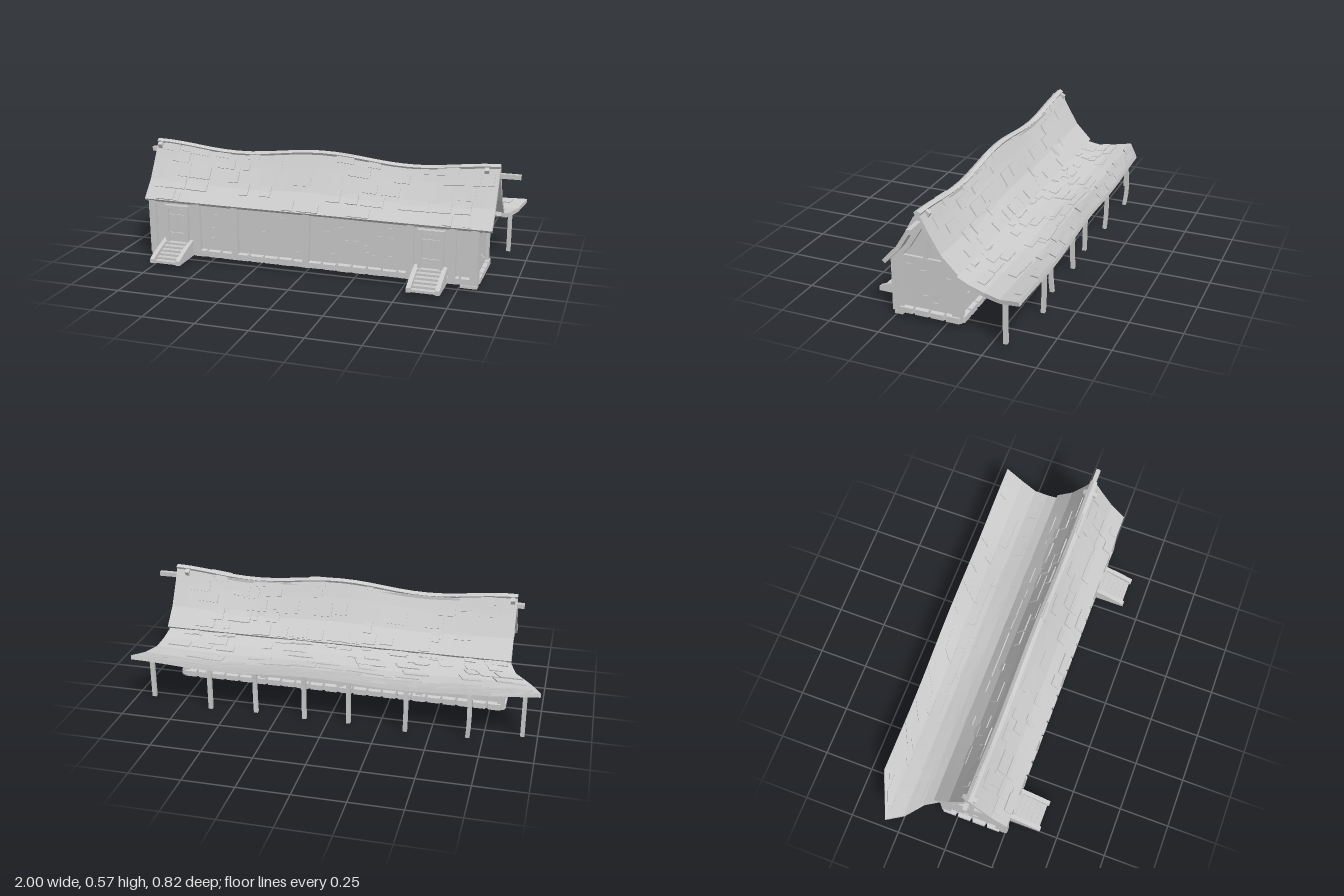
import * as THREE from 'three';
import { mergeGeometries } from 'three/addons/utils/BufferGeometryUtils.js';

const mat = new THREE.MeshStandardMaterial({ color: 0xcccccc, flatShading: true });
let seed = 7;
const rnd = (a = 0, b = 1) => {
  seed = (seed * 16807) % 2147483647;
  return a + (b - a) * (seed / 2147483647);
};
const lerp = THREE.MathUtils.lerp;

// Piecewise linear lookup in a list of evenly spaced values
const along = (list, t) => {
  const s = t * (list.length - 1);
  const i = Math.max(0, Math.min(list.length - 2, Math.floor(s)));
  return lerp(list[i], list[i + 1], s - i);
};

// Closed plate that follows the surface f(u, v); u runs to +x, v runs to -z
function plate(f, u0, u1, v0, v1, nu, nv, lift, thick) {
  const pos = [], idx = [], e = 0.004, row = nv + 1, n = (nu + 1) * row;
  for (const off of [lift, lift - thick])
    for (let i = 0; i <= nu; i++)
      for (let j = 0; j <= nv; j++) {
        const u = lerp(u0, u1, i / nu), v = lerp(v0, v1, j / nv);
        const du = f(u + e, v).sub(f(u - e, v)), dv = f(u, v + e).sub(f(u, v - e));
        pos.push(...f(u, v).addScaledVector(du.cross(dv).normalize(), off).toArray());
      }
  const quad = (a, b, c, d) => idx.push(a, b, c, a, c, d);
  for (let i = 0; i < nu; i++)
    for (let j = 0; j < nv; j++) {
      const a = i * row + j, b = a + row;
      quad(a, b, b + 1, a + 1);
      quad(n + a, n + a + 1, n + b + 1, n + b);
    }
  for (let i = 0; i < nu; i++) {
    const a = i * row, b = a + row;
    quad(a, n + a, n + b, b);
    quad(a + nv, b + nv, n + b + nv, n + a + nv);
  }
  for (let j = 0; j < nv; j++) {
    const a = j, b = nu * row + j;
    quad(a, a + 1, n + a + 1, n + a);
    quad(b, n + b, n + b + 1, b + 1);
  }
  const g = new THREE.BufferGeometry();
  g.setAttribute('position', new THREE.Float32BufferAttribute(pos, 3));
  g.setIndex(idx);
  g.computeVertexNormals();
  return g;
}

// Main roof slopes: wavy ridge, straight eaves, sagging profile
const slope = (zs, ys) => (u, v) => {
  const x = lerp(-0.84, 0.9, u), y = along(ys, v);
  const wave = 0.017 * (Math.cos((x - 0.04) * 7.14) - 1);
  return new THREE.Vector3(x, y + wave * Math.max(0, (y - 0.3) / 0.275), along(zs, v));
};
const frontSlope = slope([0.27, 0.195, 0.13, 0.086], [0.305, 0.388, 0.495, 0.575]);
const backSlope = slope([0.086, 0.042, -0.02, -0.1], [0.575, 0.49, 0.385, 0.303]);

// Rear canopy: sagging sheet with ragged ends
const canopySurface = (u, v) => {
  const x = lerp(along([-0.83, -0.87, -0.95, -1.0, -0.78], v), along([0.89, 0.9, 0.91, 0.94, 0.97], v), u);
  const y = along([0.298, 0.265, 0.247, 0.246, 0.268], v) + 0.009 * v * Math.sin(x * 7 + 1);
  return new THREE.Vector3(x, y, along([-0.07, -0.15, -0.22, -0.3, -0.395], v) - 0.012 * v * Math.sin(x * 1.6));
};

export function createModel() {
  const model = new THREE.Group();
  const add = (name, geo, parent = model) => {
    const m = new THREE.Mesh(geo, mat);
    m.name = name;
    parent.add(m);
    return m;
  };
  const box = (name, w, h, d, x, y, z, parent) => {
    const m = add(name, new THREE.BoxGeometry(w, h, d), parent);
    m.position.set(x, y, z);
    return m;
  };
  const group = (name) => {
    const g = new THREE.Group();
    g.name = name;
    model.add(g);
    return g;
  };
  // Side outline of [z, y] points, extruded from x0 to x1
  const sideShape = (pts, x0, x1) =>
    new THREE.ExtrudeGeometry(new THREE.Shape(pts.map(([z, y]) => new THREE.Vector2(-z, y))),
      { depth: x1 - x0, bevelEnabled: false }).rotateY(Math.PI / 2).translate(x0, 0, 0);

  // Hall body with gables
  add('hallBody', sideShape([[0.24, 0.022], [0.24, 0.315], [0.18, 0.375], [0.12, 0.465], [0.086, 0.525],
    [0.052, 0.465], [-0.01, 0.37], [-0.072, 0.305], [-0.072, 0.022]], -0.81, 0.83));

  // Roofs, each with scattered raised shingles
  const roofs = [['frontRoof', frontSlope, 24, 3, 50, 5], ['backRoof', backSlope, 24, 3, 50, 5],
    ['rearCanopy', canopySurface, 26, 4, 95, 7]];
  for (const [name, f, nu, nv, count, rows] of roofs) {
    add(name, plate(f, 0, 1, 0, 1, nu, nv, 0, 0.02));
    const shingles = [];
    for (let i = 0; i < count; i++) {
      const w = rnd(0.02, 0.065), h = rnd(0.6, 1) / rows;
      const u = rnd(0.005, 0.995 - w), v = Math.min(0.985 - h, Math.floor(rnd(0, rows)) / rows + 0.015);
      shingles.push(plate(f, u, u + w, v, v + h, 2, 2, rnd(0.003, 0.007), 0.009));
    }
    add(name + 'Shingles', mergeGeometries(shingles));
  }

  // Rake boards under the roof at both gables
  for (const f of [frontSlope, backSlope])
    for (const [a, b] of [[0.006, 0.018], [0.959, 0.971]])
      add('rakeBoard', plate(f, a, b, 0.02, 0.98, 1, 6, -0.018, 0.026));

  // Ridge beam poking out of both gables
  box('ridgeBeam', 1.87, 0.022, 0.022, 0.06, 0.518, 0.08);

  // Timbers on the gables
  const gables = group('gableTimbers');
  for (const x of [-0.812, 0.832]) {
    box('gableCornerPost', 0.02, 0.29, 0.04, x, 0.165, 0.225, gables).rotation.x = 0.02;
    box('gableCornerPost', 0.02, 0.28, 0.035, x, 0.165, -0.056, gables).rotation.x = -0.03;
    box('tieBeam', 0.022, 0.016, 0.31, x, 0.312, 0.085, gables);
    box('kingPost', 0.02, 0.11, 0.02, x, 0.37, 0.083, gables).rotation.x = -0.07;
    box('kingPost', 0.02, 0.09, 0.02, x, 0.455, 0.087, gables).rotation.x = 0.05;
  }

  // Timbers along the long walls
  const timbers = group('wallTimbers');
  for (const x of [-0.805, -0.565, -0.365, 0.005, 0.52, 0.72, 0.822])
    box('frontPost', 0.034, 0.275, 0.03, x, 0.165, 0.246, timbers).rotation.z = rnd(-0.02, 0.02);
  for (const x of [-0.805, -0.4, 0.005, 0.41, 0.822])
    box('backPost', 0.034, 0.265, 0.02, x, 0.16, -0.073, timbers).rotation.z = rnd(-0.02, 0.02);
  box('frontWallPlate', 1.64, 0.02, 0.02, 0.01, 0.295, 0.245, timbers);
  box('backWallPlate', 1.64, 0.02, 0.02, 0.01, 0.285, -0.073, timbers);

  // Foundation stones with a tapered outer face
  const stones = group('foundationStones');
  const stone = (w, x, z, turn) => {
    const g = new THREE.BoxGeometry(w * 0.97, rnd(0.04, 0.047), 0.034), p = g.attributes.position;
    for (let i = 0; i < p.count; i++)
      if (p.getZ(i) > 0) p.setXY(i, p.getX(i) * 0.82, p.getY(i) * 0.65);
    const m = add('foundationStone', g, stones);
    m.position.set(x, 0.042, z);
    m.rotation.y = turn;
  };
  for (let i = 0; i < 22; i++) {
    const x = -0.775 + i * 0.0748;
    if (Math.abs(x + 0.68) > 0.1 && Math.abs(x - 0.62) > 0.09) stone(0.0748, x, 0.243, 0);
    stone(0.0748, x, -0.075, Math.PI);
  }
  for (let i = 0; i < 4; i++) {
    stone(0.078, 0.832, 0.19 - i * 0.077, Math.PI / 2);
    stone(0.078, -0.812, 0.19 - i * 0.077, -Math.PI / 2);
  }
  box('cornerFooting', 0.08, 0.012, 0.04, 0.8, 0.016, 0.232, stones);
  box('cornerFooting', 0.08, 0.012, 0.04, -0.78, 0.016, 0.232, stones);

  // Small bricks showing through the walls
  const bricks = group('exposedBricks');
  for (const x of [-0.81, 0.83])
    for (const [z, y] of [[0.175, 0.27], [0.105, 0.247], [-0.02, 0.23], [0.095, 0.123], [0.045, 0.095]])
      box('brick', 0.01, 0.013, 0.024, x, y, z, bricks);
  for (let i = 0; i < 40; i++) {
    const back = i % 2, x = back ? rnd(-0.76, 0.76) : rnd(-0.53, 0.48);
    box('brick', 0.024, 0.013, 0.008, x, rnd(0.09, 0.26), back ? -0.073 : 0.241, bricks);
  }

  // Doors and stairs
  for (const cx of [-0.675, 0.618]) {
    const door = group('door');
    for (let i = 0; i < 4; i++)
      box('doorPlank', 0.021, 0.165, 0.012, cx - 0.033 + i * 0.022, 0.175, 0.242 + (i % 2) * 0.003, door);
    for (const s of [-1, 1]) box('doorJamb', 0.016, 0.19, 0.03, cx + s * 0.053, 0.18, 0.246, door);
    box('doorLintel', 0.13, 0.016, 0.032, cx, 0.27, 0.247, door);
    for (const y of [0.13, 0.225]) box('doorBrace', 0.086, 0.012, 0.008, cx, y, 0.252, door);

    const stairs = group('stairs');
    const rail = [[0.24, 0.02], [0.41, 0.02], [0.41, 0.042], [0.37, 0.059], [0.31, 0.079], [0.24, 0.1]];
    for (const s of [-1, 1])
      add('stairSide', sideShape(rail, cx + s * 0.068 - 0.011, cx + s * 0.068 + 0.011), stairs);
    for (let i = 0; i < 6; i++) {
      const h = 0.012 + i * 0.011;
      box('step', 0.12, h, 0.027, cx, 0.02 + h / 2, 0.388 - i * 0.026, stairs);
    }
  }

  // Crooked canopy posts
  const posts = [[-0.93, -0.29, 0.015], [-0.68, -0.36, 0.015], [-0.38, -0.345, 0], [-0.1, -0.33, 0],
    [0.115, -0.345, 0.005], [0.365, -0.33, 0], [0.585, -0.37, 0.015], [0.9, -0.32, 0.02]];
  for (const [x, z, y0] of posts) {
    const h = 0.242 - y0, bend = rnd(-0.01, 0.01);
    const g = new THREE.BoxGeometry(0.02, h, 0.019, 1, 4, 1).translate(0, y0 + h / 2, 0);
    const p = g.attributes.position;
    for (let i = 0; i < p.count; i++) {
      const k = Math.sin(((p.getY(i) - y0) / h) * Math.PI) * bend;
      p.setX(i, p.getX(i) + k * 0.6);
      p.setZ(i, p.getZ(i) + k);
    }
    add('canopyPost', g).position.set(x, 0, z);
  }
  return model;
}
